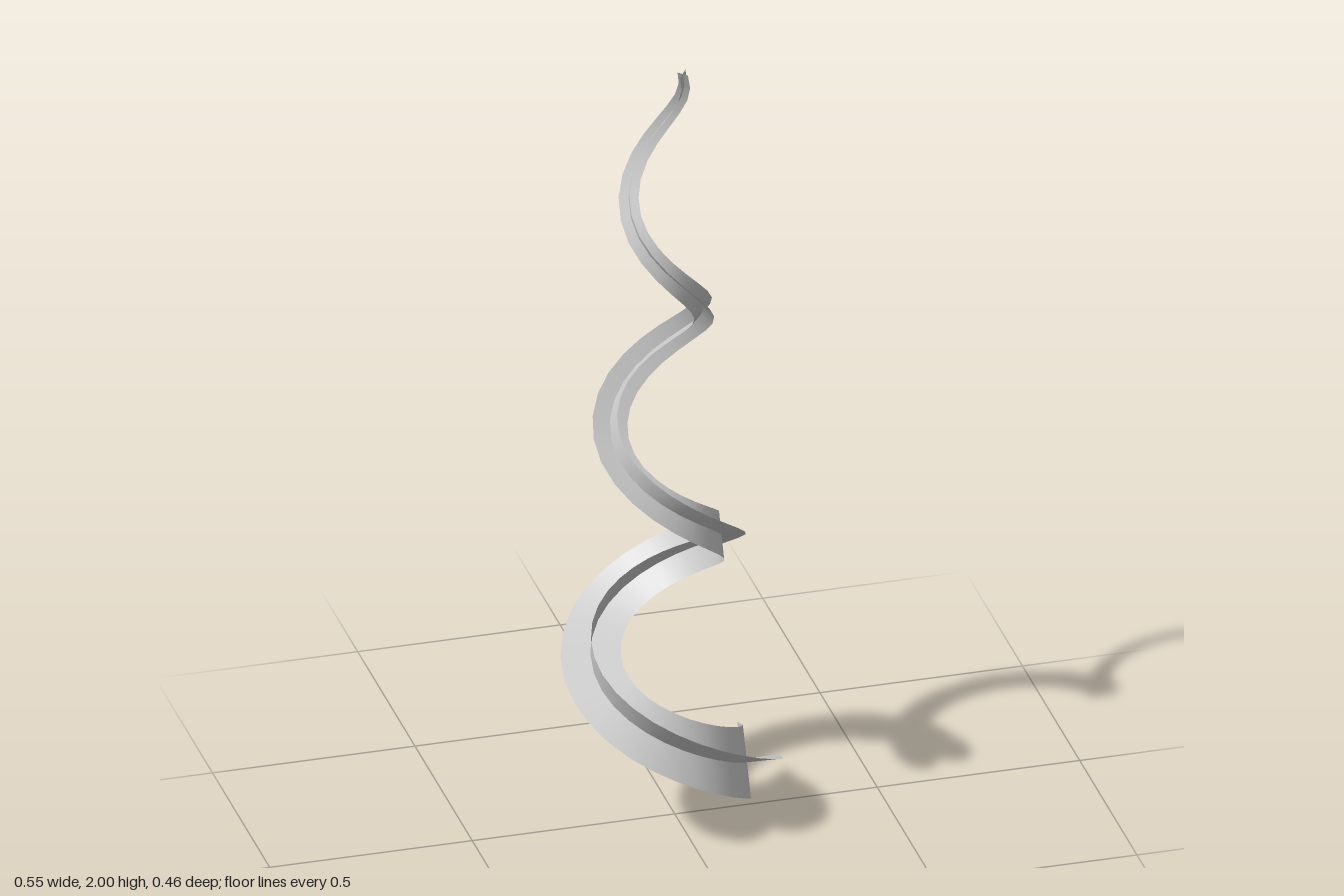
import * as THREE from 'three';

const DEG = Math.PI / 180;
const START = -16 * DEG, STRAIGHT = 7 * DEG, END = 1111 * DEG;
const SEGMENTS = 62;
const WIDE = 0.09, NARROW = 0.014;

// Centre line: a narrowing helix whose lower end runs out straight
class Spiral extends THREE.Curve {
  radius(angle) {
    const s = (angle - START) / (END - START);
    return 0.193 - 0.14 * s + 0.021 * Math.pow(1 - s, 14);
  }

  getPoint(t, target = new THREE.Vector3()) {
    const angle = START + t * (END - START);
    const r = angle < STRAIGHT
      ? this.radius(STRAIGHT) / Math.cos(STRAIGHT - angle)
      : this.radius(angle);
    return target.set(
      -0.03 + r * Math.cos(angle),
      0.11 + 0.61 * angle / (2 * Math.PI),
      -0.012 + r * Math.sin(angle));
  }
}

// Flat tapering strip, spread to both sides of the path along the given directions
function ribbon(name, points, directions, material) {
  const positions = [], index = [];
  points.forEach((p, i) => {
    const w = THREE.MathUtils.lerp(WIDE, NARROW, i / SEGMENTS);
    for (const s of [-1, 1]) {
      const v = p.clone().addScaledVector(directions[i], s * w);
      positions.push(v.x, v.y, v.z);
    }
    if (i < SEGMENTS) {
      const a = 2 * i;
      index.push(a, a + 2, a + 1, a + 1, a + 2, a + 3);
    }
  });
  const geometry = new THREE.BufferGeometry();
  geometry.setAttribute('position', new THREE.Float32BufferAttribute(positions, 3));
  geometry.setIndex(index);
  geometry.computeVertexNormals();
  const mesh = new THREE.Mesh(geometry, material);
  mesh.name = name;
  return mesh;
}

export function createModel() {
  const group = new THREE.Group();
  group.name = 'spiralTendril';
  const material = new THREE.MeshStandardMaterial({ color: 0xcccccc, side: THREE.DoubleSide });

  // Two strips crossing at right angles, rolling as they follow the spiral
  const path = new Spiral();
  const points = path.getSpacedPoints(SEGMENTS);
  const frames = path.computeFrenetFrames(SEGMENTS, false);
  group.add(ribbon('firstRibbon', points, frames.normals, material));
  group.add(ribbon('crossingRibbon', points, frames.binormals, material));
  return group;
}
